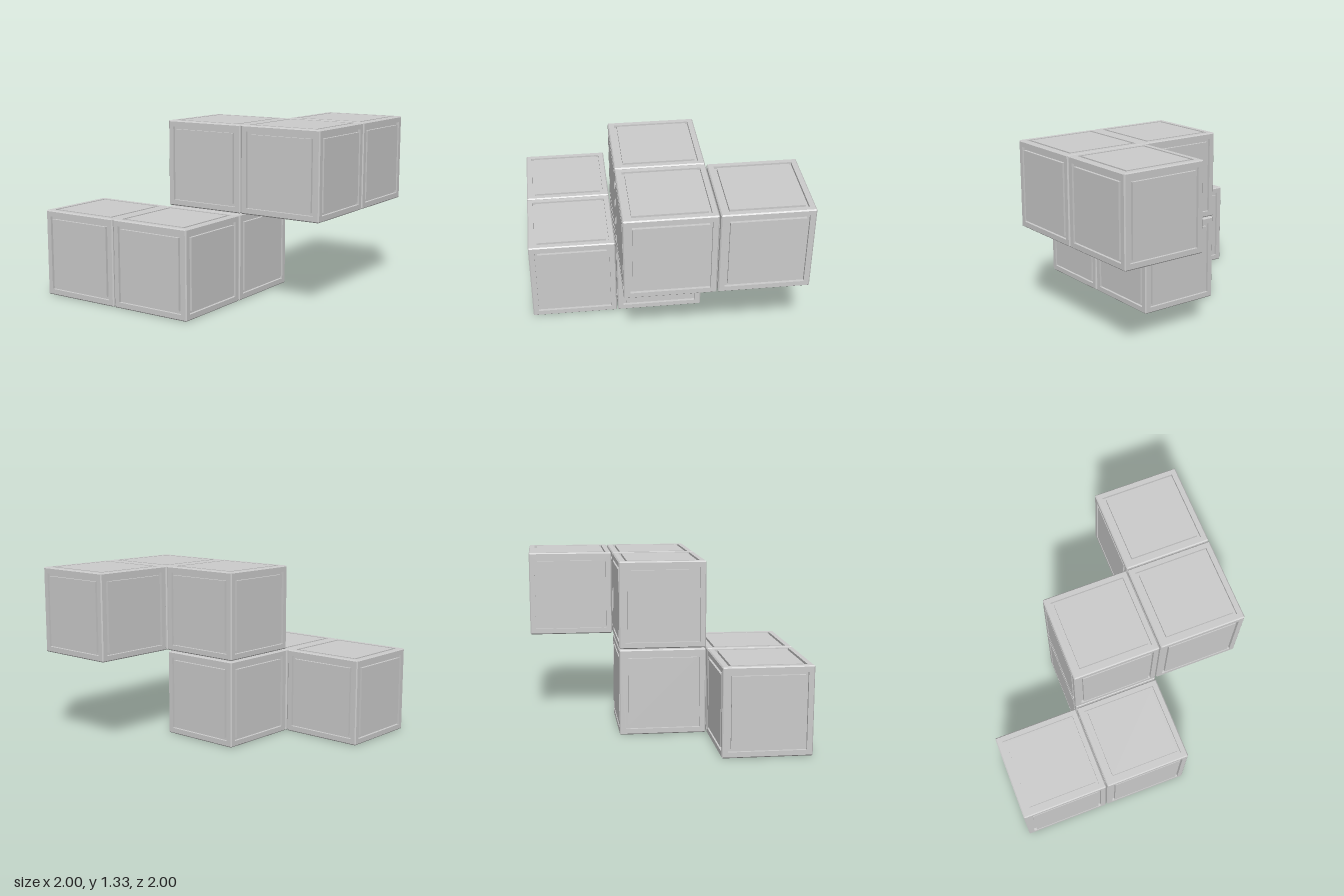
import * as THREE from 'three';
import { mergeGeometries } from 'three/addons/utils/BufferGeometryUtils.js';

const SIZE = 0.661;   // edge of one cube
const PITCH = 0.6695; // spacing between cube centres
const HALF = SIZE / 2;

// Face profile from the edge inwards: [inset, depth] (chamfer, frame, groove, panel)
const PROFILE = [
  [0.004, 0.004], [0.008, 0], [0.045, 0], [0.045, 0.02], [0.066, 0.02], [0.066, 0],
];

// One cube face pointing to +z, made of nested square rings and a centre panel
function faceGeometry() {
  const rings = PROFILE.map(([inset, depth]) => {
    const h = HALF - inset, z = HALF - depth;
    return [[-h, -h, z], [h, -h, z], [h, h, z], [-h, h, z]];
  });
  const positions = [];
  const quad = (a, b, c, d) => positions.push(...a, ...b, ...c, ...a, ...c, ...d);
  for (let i = 0; i < rings.length - 1; i++) {
    const outer = rings[i], inner = rings[i + 1];
    for (let k = 0; k < 4; k++) {
      const n = (k + 1) % 4;
      quad(outer[k], outer[n], inner[n], inner[k]);
    }
  }
  quad(...rings[rings.length - 1]);
  const geometry = new THREE.BufferGeometry();
  geometry.setAttribute('position', new THREE.Float32BufferAttribute(positions, 3));
  geometry.computeVertexNormals();
  return geometry;
}

// Six turned copies of the face form a closed cube
function cubeGeometry() {
  const face = faceGeometry();
  const faces = [];
  for (let i = 0; i < 4; i++) faces.push(face.clone().rotateY(i * Math.PI / 2));
  for (const s of [-1, 1]) faces.push(face.clone().rotateX(s * Math.PI / 2));
  return mergeGeometries(faces);
}

export function createModel() {
  const model = new THREE.Group();
  model.name = 'steppedCubes';
  const material = new THREE.MeshStandardMaterial({ color: 0xcccccc, flatShading: true });
  const geometry = cubeGeometry();

  // Grid cells: [name, x, level, z]
  const cells = [
    ['lowerRightCube', -1, 0, 1],
    ['lowerFrontCube', 0, 0, 1],
    ['lowerMiddleCube', 0, 0, 0],
    ['upperMiddleCube', 0, 1, 0],
    ['upperLeftCube', 1, 1, 0],
    ['upperBackCube', 1, 1, -1],
  ];
  for (const [name, x, level, z] of cells) {
    const cube = new THREE.Mesh(geometry, material);
    cube.name = name;
    cube.position.set(x * PITCH, HALF + level * PITCH, z * PITCH);
    model.add(cube);
  }
  return model;
}
